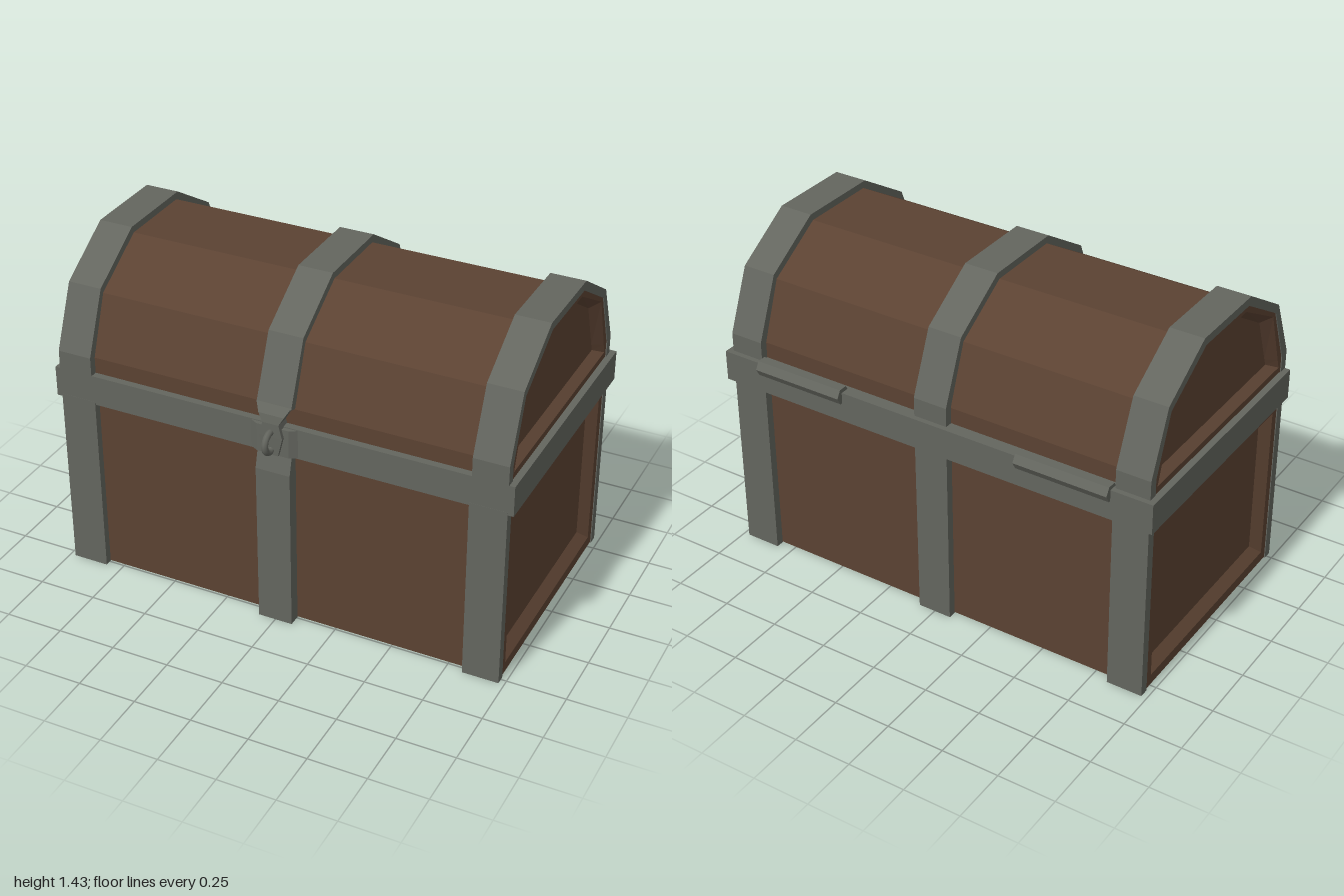
import * as THREE from 'three';

const wood = new THREE.MeshStandardMaterial({ color: 0x5b4232 });
wood.name = 'brown wood';
const iron = new THREE.MeshStandardMaterial({ color: 0x63655e });
iron.name = 'grey iron';

const MID = -0.023; // z of the chest's middle plane

// Faceted skin over rings of equal point count, with both ends capped
function loft(rings) {
  const pos = [];
  const tri = (...pts) => pts.forEach((p) => pos.push(...p));
  const n = rings[0].length;
  for (let r = 0; r + 1 < rings.length; r++) {
    const a = rings[r], b = rings[r + 1];
    for (let i = 0; i < n; i++) {
      const j = (i + 1) % n;
      tri(a[i], b[i], b[j]);
      tri(a[i], b[j], a[j]);
    }
  }
  const first = rings[0], last = rings[rings.length - 1];
  for (let i = 1; i + 1 < n; i++) {
    tri(first[0], first[i], first[i + 1]);
    tri(last[0], last[i + 1], last[i]);
  }
  const g = new THREE.BufferGeometry();
  g.setAttribute('position', new THREE.Float32BufferAttribute(pos, 3));
  g.computeVertexNormals();
  return g;
}

// Profiles are [z, y] points, from the front bottom over the top to the back
const ring = (profile, x) => profile.map(([z, y]) => [x, y, z]);
const prism = (profile, x0, x1) => loft([ring(profile, x0), ring(profile, x1)]);
const mirror = (half) => [
  ...half.map(([w, y]) => [MID + w, y]),
  ...half.slice().reverse().map(([w, y]) => [MID - w, y]),
];

// Wooden solid with a bevelled, sunken panel in each end
function panelled(outline, edge, panel, x, depth) {
  return loft([
    ring(panel, -x + depth), ring(edge, -x), ring(outline, -x),
    ring(outline, x), ring(edge, x), ring(panel, x - depth),
  ]);
}

// Arched band between an outer and an inner open profile
function band(outer, inner, x0, x1) {
  const pts = [...outer, ...inner.slice().reverse()];
  const shape = new THREE.Shape(pts.map(([z, y]) => new THREE.Vector2(-z, y)));
  const g = new THREE.ExtrudeGeometry(shape, { depth: x1 - x0, bevelEnabled: false });
  return g.rotateY(Math.PI / 2).translate(x0, 0, 0);
}

export function createModel() {
  const chest = new THREE.Group();
  chest.name = 'chest';
  const add = (name, geometry, material) => {
    const mesh = new THREE.Mesh(geometry, material);
    mesh.name = name;
    chest.add(mesh);
    return mesh;
  };

  // Wooden body and arched lid
  add('body', panelled(
    mirror([[0.517, 0.004], [0.517, 0.82]]),
    mirror([[0.474, 0.05], [0.474, 0.75]]),
    mirror([[0.435, 0.09], [0.435, 0.71]]), 0.972, 0.04), wood);
  const lidHalf = [[0.517, 0.92], [0.517, 1.0], [0.424, 1.25], [0.172, 1.405]];
  add('lid', panelled(
    mirror(lidHalf),
    mirror([[0.494, 0.958], [0.48, 1.0], [0.405, 1.235], [0.158, 1.378]]),
    mirror([[0.452, 0.98], [0.44, 1.012], [0.367, 1.215], [0.153, 1.35]]), 0.972, 0.04), wood);

  // Iron rim around the joint
  const rim = new THREE.BoxGeometry(2, 0.132, 1.12);
  add('rim', rim.translate(0, 0.864, -0.035), iron);

  // Lid straps; the middle one stops short at the front for the hasp
  const outer = mirror([[0.55, 0.93], [0.55, 1.012], [0.44, 1.275], [0.185, 1.435]]);
  const inner = mirror([[0.512, 0.93], [0.512, 1.0], [0.42, 1.246], [0.17, 1.4]]);
  add('rightLidStrap', band(outer, inner, -0.976, -0.828), iron);
  add('leftLidStrap', band(outer, inner, 0.828, 0.976), iron);
  add('middleLidStrap', band(outer.slice(1), inner.slice(1), -0.075, 0.075), iron);

  // Body straps
  const back = [[-0.535, 0], [-0.535, 0.81], [-0.575, 0.81], [-0.575, 0]];
  const front = [[0.526, 0], [0.526, 0.81], [0.486, 0.81], [0.486, 0]];
  for (const [side, x0, x1] of [['right', -0.976, -0.82], ['left', 0.82, 0.976]]) {
    add(side + 'FrontStrap', prism(front, x0, x1), iron);
    add(side + 'BackStrap', prism(back, x0, x1), iron);
  }
  add('middleBackStrap', prism(back, -0.075, 0.075), iron);
  add('middleFrontStrap', prism(
    [[0.547, 0], [0.547, 0.72], [0.526, 0.8], [0.486, 0.8], [0.486, 0]], -0.075, 0.075), iron);

  // Raised lock plate on the rim, flared at the sides
  const plan = (y) => [[0.11, y, 0.52], [0.07, y, 0.543], [-0.07, y, 0.543], [-0.11, y, 0.52]];
  add('lockPlate', loft([plan(0.802), plan(0.926)]), iron);

  // Hasp hanging from the middle lid strap: [y, half width, front z]
  const hasp = [
    [0.808, 0.03, 0.556], [0.89, 0.05, 0.558], [0.95, 0.035, 0.558],
    [0.985, 0.055, 0.551], [1.02, 0.075, 0.526],
  ];
  add('hasp', loft(hasp.map(([y, w, z]) =>
    [[w, y, 0.49], [w, y, z], [-w, y, z], [-w, y, 0.49]])), iron);

  // Lock ring
  const lockRing = add('lockRing', new THREE.TorusGeometry(0.042, 0.014, 8, 20), iron);
  lockRing.rotation.y = Math.PI / 2;
  lockRing.position.set(0, 0.87, 0.565);

  // Six-sided hinge barrels
  for (const [side, s] of [['right', -1], ['left', 1]]) {
    const g = new THREE.CylinderGeometry(0.038, 0.038, 0.41, 6).toNonIndexed();
    g.computeVertexNormals();
    g.rotateZ(Math.PI / 2).translate(s * 0.615, 0.915, -0.586);
    add(side + 'Hinge', g, iron);
  }

  return chest;
}
